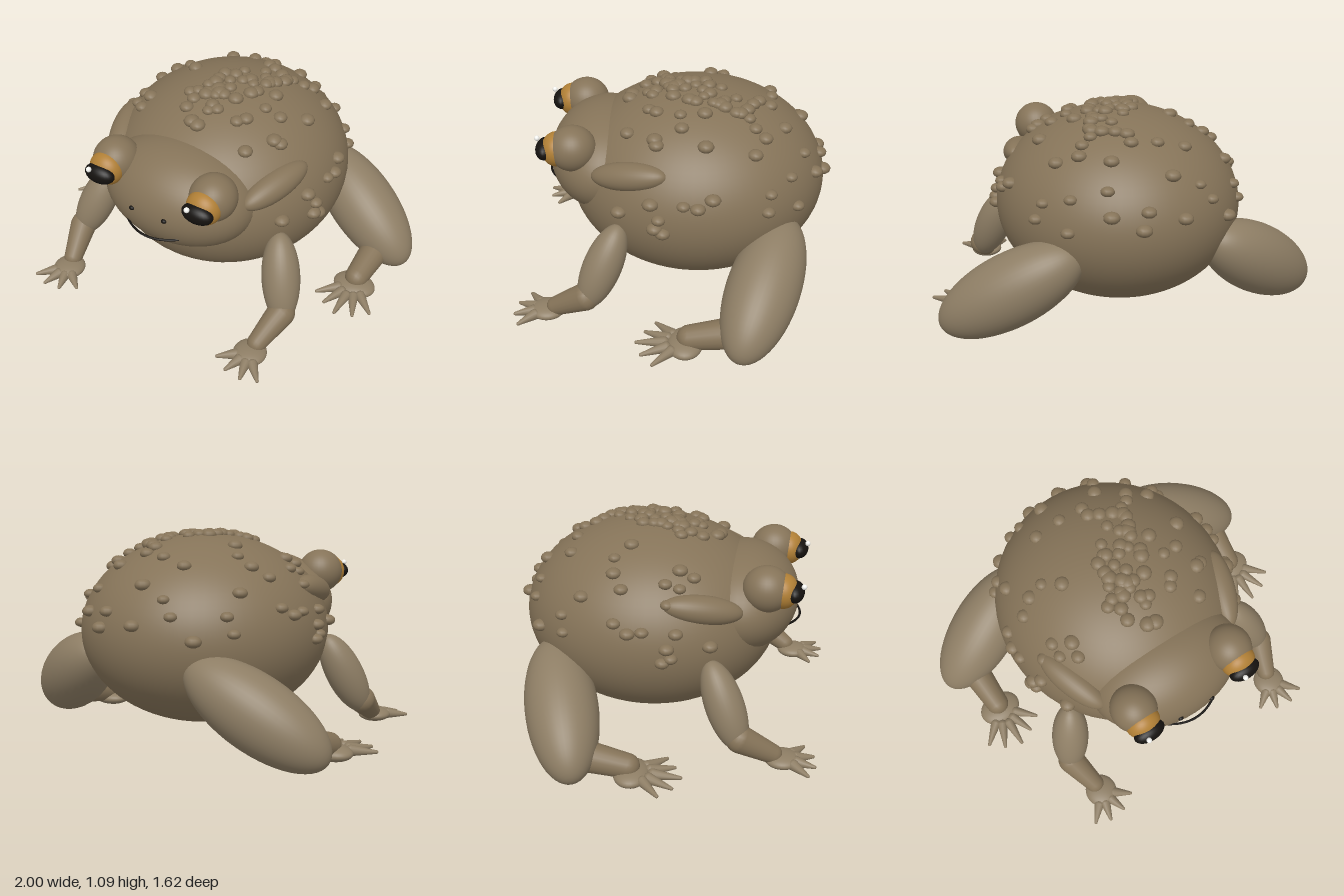
import * as THREE from 'three';

const SKIN = 0x857358, PALE = 0x8d7d64, DARK = 0x15120f, GOLD = 0xb07f35, WHITE = 0xf4f4f0;
const UP = new THREE.Vector3(0, 1, 0);
const V = (p) => new THREE.Vector3(...p);
const BODY = { c: [0, 0.572, -0.108], r: [0.63, 0.493, 0.672] };

const materials = {};
const mat = (color) => (materials[color] ??= new THREE.MeshStandardMaterial({ color }));

function add(parent, name, geometry, color) {
  const mesh = new THREE.Mesh(geometry, mat(color));
  mesh.name = name;
  parent.add(mesh);
  return mesh;
}

// Ellipsoid whose local y axis may be aimed along dir
function blob(parent, name, c, r, color = SKIN, dir = null, seg = 32) {
  const mesh = add(parent, name, new THREE.SphereGeometry(1, seg, Math.ceil(seg * 0.7)), color);
  mesh.position.set(...c);
  mesh.scale.set(...r);
  if (dir) mesh.quaternion.setFromUnitVectors(UP, V(dir).normalize());
  return mesh;
}

// Tapered limb with rounded ends running from a to b
function limb(parent, name, a, b, ra, rb, color = SKIN, seg = 20) {
  const A = V(a), d = V(b).sub(A), len = d.length(), pts = [];
  for (let i = 0; i <= 6; i++) {
    const t = (i / 6) * Math.PI / 2;
    pts.push(new THREE.Vector2(ra * Math.sin(t), -ra * Math.cos(t)));
  }
  for (let i = 0; i <= 6; i++) {
    const t = (i / 6) * Math.PI / 2;
    pts.push(new THREE.Vector2(rb * Math.cos(t), len + rb * Math.sin(t)));
  }
  const mesh = add(parent, name, new THREE.LatheGeometry(pts, seg), color);
  mesh.position.copy(A);
  mesh.quaternion.setFromUnitVectors(UP, d.normalize());
  return mesh;
}

// Flat palm with tapering digits fanned towards the given tips
function foot(parent, name, c, r, tips, m) {
  const g = new THREE.Group();
  g.name = name;
  parent.add(g);
  blob(g, 'palm', m(c), r, PALE);
  for (const [x, z] of tips) {
    const knuckle = [c[0] + (x - c[0]) * 0.42, 0.05, c[2] + (z - c[2]) * 0.42];
    limb(g, 'digit', m(knuckle), m([x, 0.042, z - 0.008]), 0.028, 0.009, PALE, 12);
  }
}

function addLegs(root, side, m) {
  // Front leg
  const front = new THREE.Group();
  front.name = side + 'FrontLeg';
  root.add(front);
  blob(front, 'upperArm', m([0.58, 0.33, 0.345]), [0.098, 0.235, 0.098], PALE, m([0.13, -0.4, 0.17]));
  limb(front, 'forearm', m([0.635, 0.18, 0.43]), m([0.59, 0.08, 0.59]), 0.072, 0.05);
  foot(front, 'frontFoot', [0.58, 0.05, 0.64], [0.085, 0.036, 0.09],
    [[0.7, 0.78], [0.62, 0.81], [0.53, 0.8], [0.45, 0.75]], m);

  // Hind leg
  const hind = new THREE.Group();
  hind.name = side + 'HindLeg';
  root.add(hind);
  blob(hind, 'thigh', m([0.655, 0.283, -0.46]), [0.183, 0.405, 0.183], PALE, m([0.8, -0.49, 0.3]), 40);
  limb(hind, 'shin', m([0.82, 0.13, -0.32]), m([0.81, 0.085, -0.1]), 0.08, 0.062);
  foot(hind, 'hindFoot', [0.81, 0.045, -0.08], [0.115, 0.042, 0.09],
    [[0.66, 0.08], [0.73, 0.13], [0.81, 0.17], [0.9, 0.14], [0.97, 0.08]], m);
}

function addHeadSide(root, side, m) {
  // Eye mound, eyeball, wide pupil and glint
  blob(root, side + 'EyeMound', m([0.285, 0.838, 0.51]), [0.118, 0.117, 0.122]);
  blob(root, side + 'Eye', m([0.285, 0.832, 0.592]), [0.09, 0.088, 0.075], GOLD);
  blob(root, side + 'Pupil', m([0.285, 0.832, 0.648]), [0.084, 0.05, 0.048], DARK, null, 24);
  const glint = m([0.285, 0.873, 0.692]);
  glint[0] -= 0.03;
  blob(root, side + 'EyeGlint', glint, [0.014, 0.014, 0.014], WHITE, null, 12);
  // Nostril and the long gland behind the eye
  blob(root, side + 'Nostril', m([0.095, 0.705, 0.656]), [0.015, 0.011, 0.012], DARK, null, 12);
  blob(root, side + 'Gland', m([0.455, 0.782, 0.215]), [0.075, 0.205, 0.07], SKIN, m([0.12, 0.07, -0.34]));
}

function addWarts(root) {
  const g = new THREE.Group();
  g.name = 'warts';
  root.add(g);
  let seed = 7;
  const rand = () => (seed = (seed * 16807) % 2147483647) / 2147483647;
  const { c, r } = BODY;
  const place = (x, y, z) => {
    const s = 0.031 + rand() * 0.011;
    blob(g, 'wart', [x, y, z], [s, s * 0.7, s], SKIN, null, 12);
  };
  const fromTop = (x, z) => {
    const k = 1 - (x / r[0]) ** 2 - ((z - c[2]) / r[2]) ** 2;
    if (k > 0) place(x, c[1] + r[1] * Math.sqrt(k), z);
  };
  // Scattered warts on the back, as x, z pairs
  const back = [
    [-0.24, -0.65], [-0.1, -0.65], [0.22, -0.65], [0.38, -0.58], [0.17, -0.55], [-0.22, -0.49],
    [-0.08, -0.49], [0.3, -0.45], [0.4, -0.4], [0.05, -0.48], [0.05, -0.42], [0.1, -0.39],
    [0.16, -0.36], [0.22, -0.37], [0.27, -0.4], [-0.48, -0.38], [-0.42, -0.23], [-0.34, -0.24],
    [-0.26, -0.17], [-0.49, -0.18], [0.42, -0.16], [0.24, -0.15], [0.25, -0.03], [0.33, -0.04],
    [0.37, 0.09], [0.4, 0.08], [0.29, 0.23], [0.21, 0.09], [0.02, 0.24], [-0.02, 0.23],
    [0.18, 0.13], [0.06, 0.12], [-0.37, 0.09], [-0.45, 0.03], [-0.45, 0.1], [-0.52, 0.05], [-0.38, 0.16],
  ];
  for (const [x, z] of back) fromTop(x, z);
  // Dense band along the spine
  for (let i = 0; i < 36; i++) {
    const t = i / 35;
    fromTop(-0.04 + 0.14 * t + (rand() - 0.5) * 0.26, 0.12 - 0.4 * t + (rand() - 0.5) * 0.1);
  }
  // Warts on the flanks, as y, z pairs
  const flank = [
    [0.62, 0.26], [0.7, 0.1], [0.58, 0.08], [0.56, 0.04], [0.63, 0.06], [0.71, -0.06],
    [0.7, -0.13], [0.74, -0.2], [0.64, -0.47], [0.72, -0.48], [0.61, -0.62],
  ];
  for (const s of [1, -1]) for (const [y, z] of flank) {
    const k = 1 - ((y - c[1]) / r[1]) ** 2 - ((z - c[2]) / r[2]) ** 2;
    place(s * r[0] * Math.sqrt(k), y, z);
  }
  // Warts around the rump
  for (const [x, y] of [[0.08, 0.64], [0.05, 0.72], [-0.13, 0.67], [0.22, 0.7], [-0.3, 0.72]]) {
    const k = 1 - (x / r[0]) ** 2 - ((y - c[1]) / r[1]) ** 2;
    place(x, y, c[2] - r[2] * Math.sqrt(k));
  }
}

export function createModel() {
  const root = new THREE.Group();
  root.name = 'toad';
  blob(root, 'body', BODY.c, BODY.r, SKIN, null, 64);
  blob(root, 'head', [0, 0.678, 0.37], [0.42, 0.265, 0.295], SKIN, null, 48);

  // Thin mouth line
  const lips = new THREE.QuadraticBezierCurve3(V([-0.155, 0.588, 0.62]), V([0, 0.572, 0.73]), V([0.155, 0.588, 0.62]));
  add(root, 'mouth', new THREE.TubeGeometry(lips, 24, 0.006, 8), DARK);

  for (const [side, s] of [['left', 1], ['right', -1]]) {
    const m = ([x, y, z]) => [s * x, y, z];
    addHeadSide(root, side, m);
    addLegs(root, side, m);
  }
  addWarts(root);
  return root;
}
